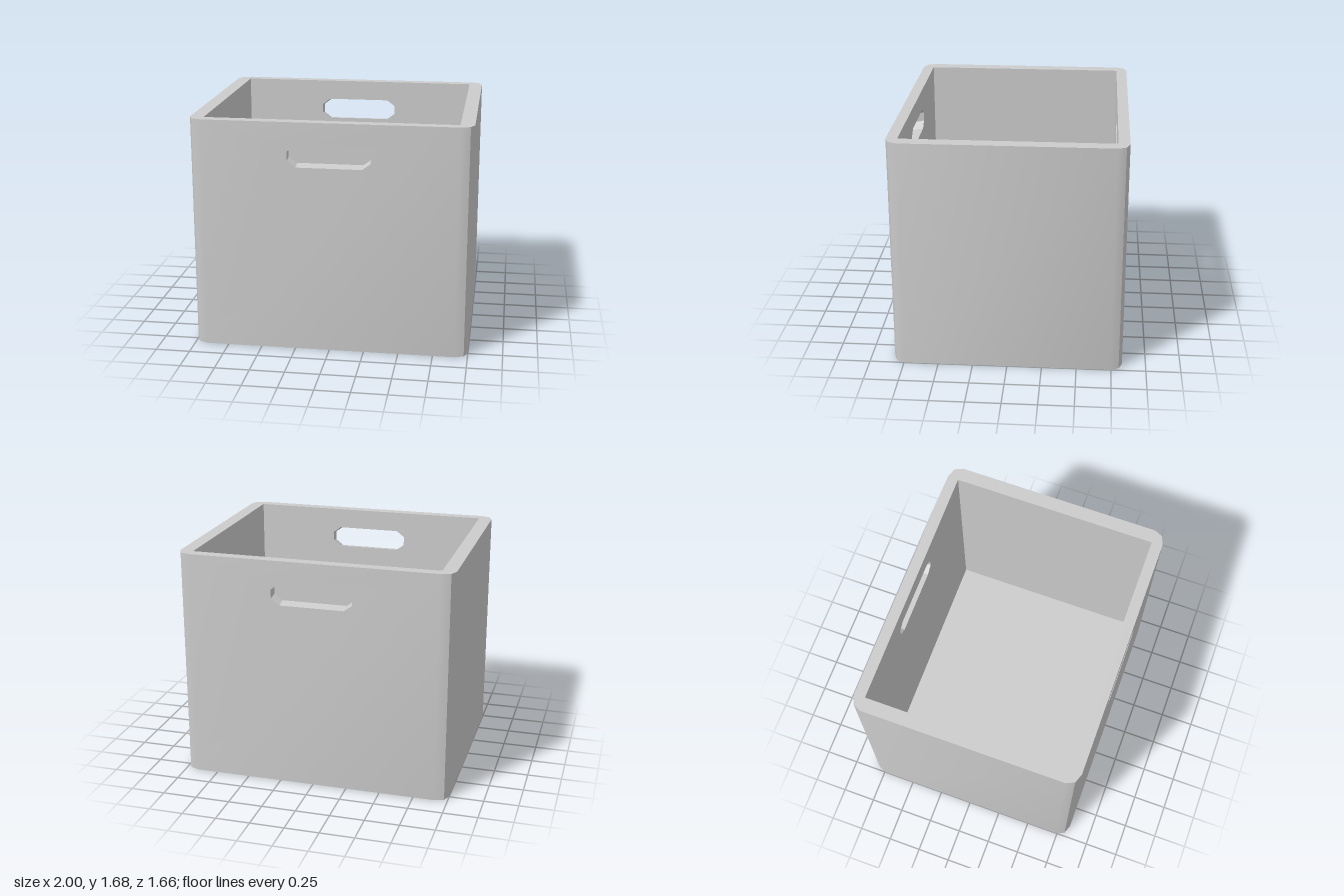
import * as THREE from 'three';
import { mergeGeometries, toCreasedNormals } from 'three/addons/utils/BufferGeometryUtils.js';

const H = 1.685, FLOOR = 0.085;   // rim height, floor height
const OZ = 0.83;                  // outer half depth
const IX = 0.9, IZ = 0.75;        // inner half width and depth
const FLAT = 0.905;               // half width of the flat outer front
const LIFT = 0.014;               // handle slot rises slightly towards the inside

const material = new THREE.MeshStandardMaterial({ color: 0xcccccc, side: THREE.DoubleSide });

// Right-hand half of the rounded outline, front to back, as [x, z]
const frontCorner = [[FLAT, OZ], [0.973, 0.805], [1, 0.745]];
const sideOutline = [...frontCorner, ...frontCorner.map(([x, z]) => [x, -z]).reverse()];

// Handle slot, counterclockwise, as [x, y]
const slot = [
  [-0.235, 1.363], [0.235, 1.363], [0.295, 1.408], [0.295, 1.475],
  [0.235, 1.52], [-0.235, 1.52], [-0.295, 1.475], [-0.295, 1.408],
];

const toShape = (pts) => new THREE.Shape(pts.map(([x, y]) => new THREE.Vector2(x, y)));

// Quads between two matching rows of points
function band(a, b) {
  const pos = [];
  for (let i = 0; i < a.length - 1; i++) {
    for (const p of [a[i], a[i + 1], b[i + 1], a[i], b[i + 1], b[i]]) pos.push(...p);
  }
  const g = new THREE.BufferGeometry();
  g.setAttribute('position', new THREE.Float32BufferAttribute(pos, 3));
  g.computeVertexNormals();
  return g;
}

// Upright strip following a plan outline
const wall = (plan, y0, y1) => band(plan.map(([x, z]) => [x, y0, z]), plan.map(([x, z]) => [x, y1, z]));

// Flat panel facing +z with the handle slot cut out
function slottedPanel(halfWidth, y0, lift) {
  const shape = toShape([[-halfWidth, y0], [halfWidth, y0], [halfWidth, H], [-halfWidth, H]]);
  shape.holes.push(toShape(slot.map(([x, y]) => [x, y + lift])));
  return new THREE.ShapeGeometry(shape);
}

// The geometry and its copy turned half way round
const bothSides = (g) => [g, g.clone().rotateY(Math.PI)];

function join(list) {
  return mergeGeometries(list.map((g) => {
    const n = g.index ? g.toNonIndexed() : g;
    n.deleteAttribute('uv');
    return n;
  }));
}

export function createModel() {
  const group = new THREE.Group();
  const add = (name, geometry) => {
    const mesh = new THREE.Mesh(geometry, material);
    mesh.name = name;
    group.add(mesh);
  };

  // Outer skin, open underneath, with softened corners
  const outer = join([
    ...bothSides(slottedPanel(FLAT, 0, 0).translate(0, 0, OZ)),
    ...bothSides(wall(sideOutline, 0, H)),
  ]);
  add('outerWalls', toCreasedNormals(outer, Math.PI / 6));

  // Inner skin
  add('innerWalls', join([
    ...bothSides(slottedPanel(IX, FLOOR, LIFT).rotateY(Math.PI).translate(0, 0, IZ)),
    ...bothSides(wall([[IX, -IZ], [IX, IZ]], FLOOR, H)),
  ]));

  // Raised floor
  add('floor', new THREE.PlaneGeometry(2 * IX, 2 * IZ).rotateX(-Math.PI / 2).translate(0, FLOOR, 0));

  // Top rim between the two skins
  const rim = toShape([...sideOutline, ...sideOutline.map(([x, z]) => [-x, -z])]);
  rim.holes.push(toShape([[-IX, -IZ], [IX, -IZ], [IX, IZ], [-IX, IZ]]));
  add('rim', new THREE.ShapeGeometry(rim).rotateX(-Math.PI / 2).translate(0, H, 0));

  // Handle slots through the front and back walls
  const loop = [...slot, slot[0]];
  const tunnel = band(loop.map(([x, y]) => [x, y, OZ]), loop.map(([x, y]) => [x, y + LIFT, IZ]));
  bothSides(tunnel).forEach((g, i) => add(i ? 'backHandle' : 'frontHandle', g));

  return group;
}
